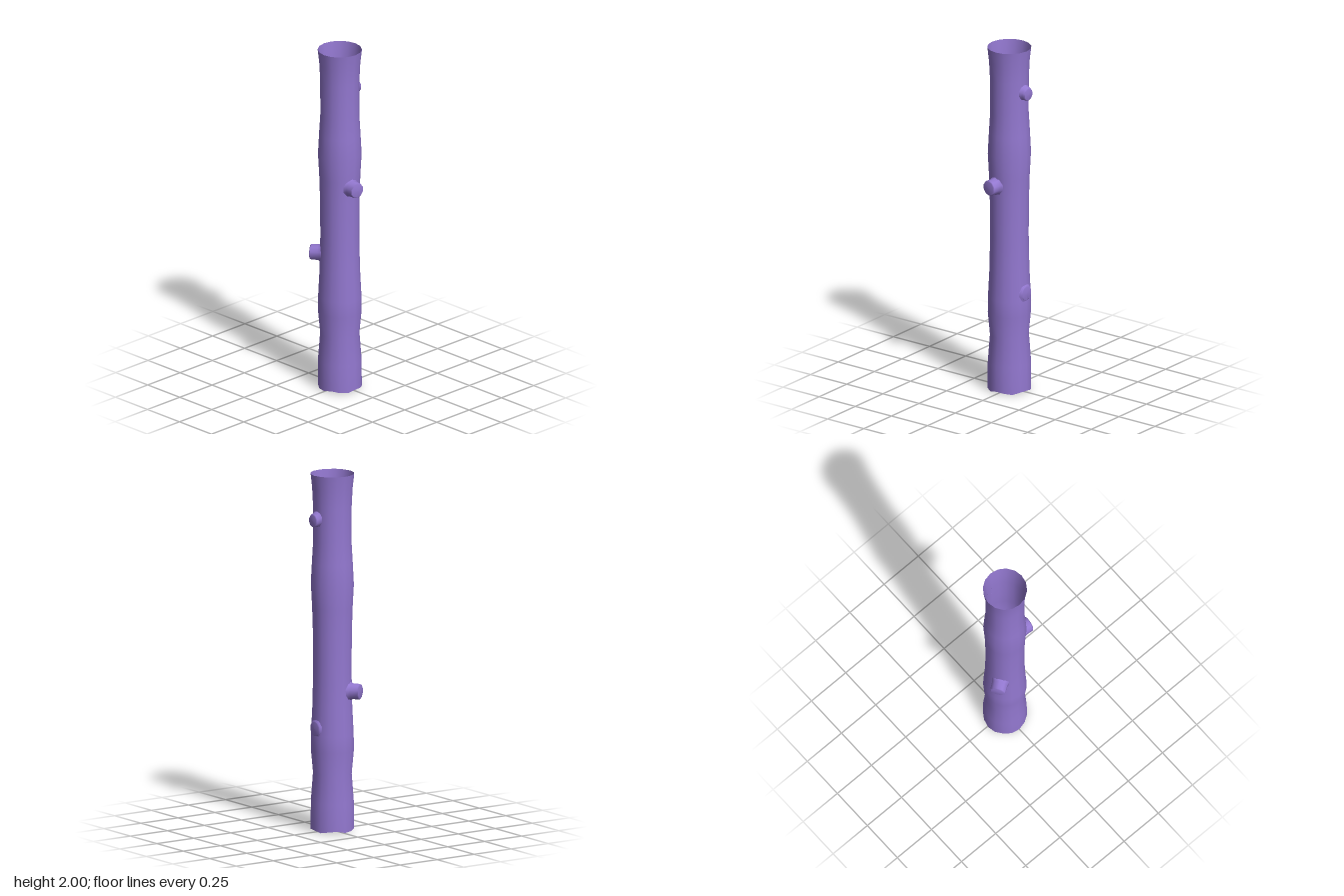
import * as THREE from 'three';

const SIDES = 16;
const CENTRE_X = -0.007;

// Trunk silhouette: [radius, height]
const profile = [
  [0.121, 0], [0.12, 0.16], [0.108, 0.32], [0.12, 0.45], [0.119, 0.54], [0.111, 0.7],
  [0.107, 0.9], [0.109, 1.12], [0.113, 1.25], [0.12, 1.38], [0.114, 1.5], [0.107, 1.62],
  [0.108, 1.82], [0.113, 1.92], [0.122, 2],
].map(([r, y]) => new THREE.Vector2(r, y));

function trunkRadius(y) {
  const i = Math.max(1, profile.findIndex((p) => p.y >= y));
  const a = profile[i - 1], b = profile[i];
  return THREE.MathUtils.mapLinear(y, a.y, b.y, a.x, b.x);
}

// Hollow trunk, open at both ends, with a slightly ragged foot
function makeTrunk(material) {
  const geometry = new THREE.LatheGeometry(profile, SIDES);
  const pos = geometry.attributes.position;
  for (let i = 0; i < pos.count; i++) {
    if (pos.getY(i) > 0.001) continue;
    const angle = Math.atan2(pos.getX(i), pos.getZ(i));
    pos.setY(i, 0.006 + 0.006 * Math.sin(angle * 5 + 1));
  }
  const mesh = new THREE.Mesh(geometry, material);
  mesh.name = 'trunk';
  return mesh;
}

// Cut branch stub: capped tube whose base ring is moved onto the trunk surface
function makeStub({ name, angle, y, tip, radius, droop = 0 }, material) {
  const points = [
    [radius * 1.15, 0.1], [radius, Math.min(0.118, tip - 0.006)],
    [radius * 0.97, tip - 0.005], [radius * 0.85, tip], [0, tip + 0.001],
  ].map(([r, h]) => new THREE.Vector2(r, h));
  const geometry = new THREE.LatheGeometry(points, 10);
  geometry.rotateX(Math.PI / 2);
  const pos = geometry.attributes.position;
  const rings = points.length;
  for (let i = 0; i < pos.count; i++) {
    const x = pos.getX(i);
    const out = (pos.getZ(i) - 0.1) / (tip - 0.1);
    const py = pos.getY(i) + droop * out;
    pos.setY(i, py);
    if (i % rings === 0) {
      const r = trunkRadius(y + py);
      pos.setZ(i, Math.sqrt(r * r - x * x) - 0.001);
    }
  }
  geometry.computeVertexNormals();
  const mesh = new THREE.Mesh(geometry, material);
  mesh.name = name;
  mesh.position.y = y;
  mesh.rotation.y = angle;
  return mesh;
}

export function createModel() {
  const group = new THREE.Group();
  group.name = 'log';
  const material = new THREE.MeshStandardMaterial({ color: 0x9378d0, side: THREE.DoubleSide });

  const log = new THREE.Group();
  log.name = 'hollowLog';
  log.position.x = CENTRE_X;
  log.add(makeTrunk(material));

  // Angles run from the front (+z) towards the left side (+x)
  const stubs = [
    { name: 'frontStub', angle: -0.14, y: 1.21, tip: 0.162, radius: 0.045 },
    { name: 'upperLeftStub', angle: Math.PI / 2, y: 1.755, tip: 0.134, radius: 0.039, droop: -0.008 },
    { name: 'lowerLeftStub', angle: Math.PI / 2, y: 0.58, tip: 0.122, radius: 0.045 },
    { name: 'backRightStub', angle: Math.PI + 0.6, y: 0.785, tip: 0.165, radius: 0.045 },
  ];
  for (const stub of stubs) log.add(makeStub(stub, material));

  group.add(log);
  return group;
}
